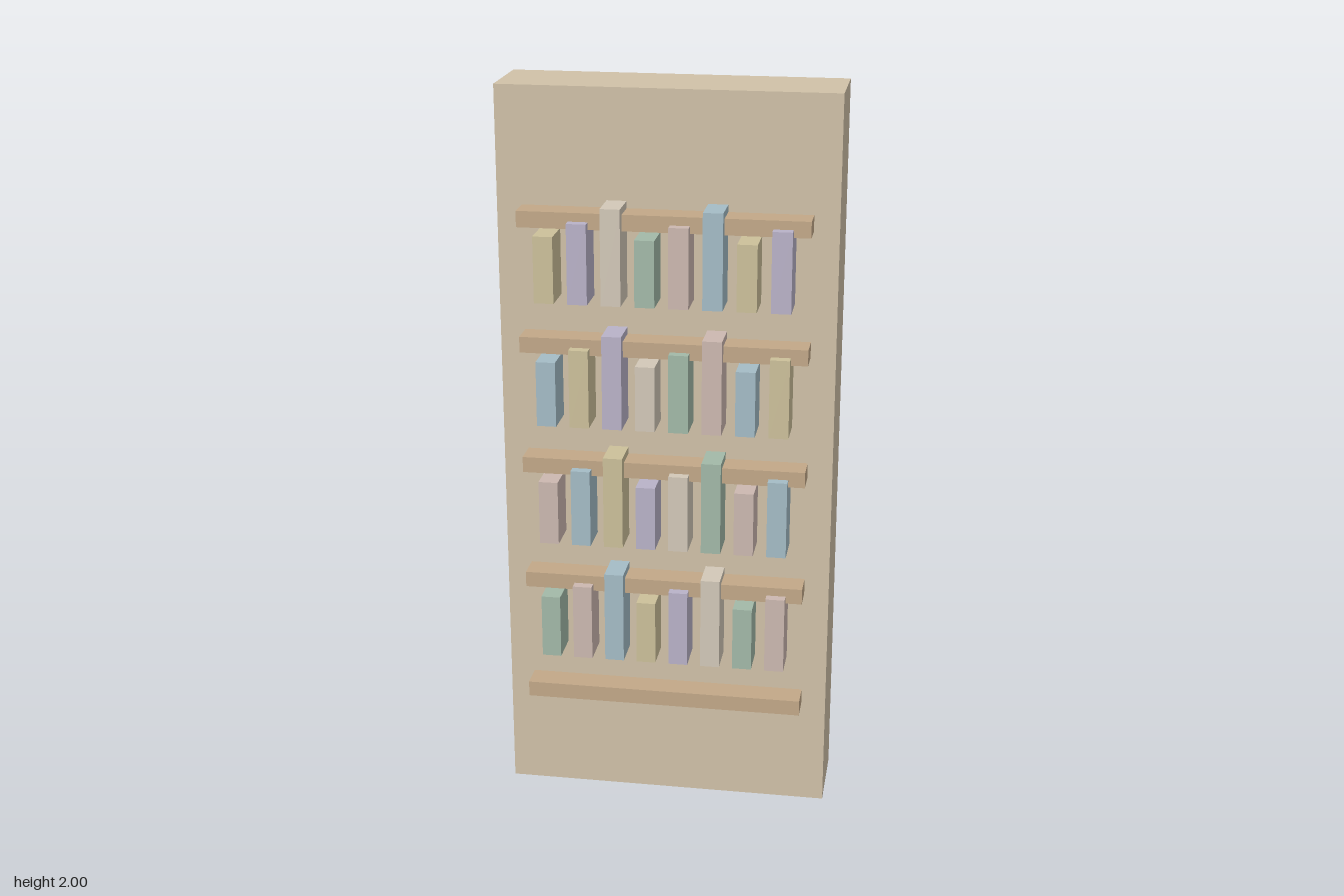
import * as THREE from 'three';

// Box given by its centre x, bottom y, back z and size
function box(name, material, w, h, d, x, y, zBack) {
  const mesh = new THREE.Mesh(new THREE.BoxGeometry(w, h, d), material);
  mesh.name = name;
  mesh.position.set(x, y + h / 2, zBack + d / 2);
  return mesh;
}

const paint = (color) => new THREE.MeshStandardMaterial({ color });

export function createModel() {
  const model = new THREE.Group();
  model.name = 'bookcase';

  const back = -0.161, front = 0.061;
  const pitch = 0.337;

  // Solid cabinet
  model.add(box('cabinet', paint(0xd0c1a8), 0.893, 2, front - back, 0, 0, back));

  // Five shelf boards on the front
  const wood = paint(0xc2a888);
  for (let i = 0; i < 5; i++) {
    model.add(box('shelf', wood, 0.76, 0.043, 0.134 - front, 0, 0.299 + i * pitch, front));
  }

  // Four rows of books: three repeating heights, six repeating colours
  const covers = [0xa2b9a8, 0xccb8b0, 0xa4bcc6, 0xccc09a, 0xb9b2c8, 0xd2c8b8].map(paint);
  const heights = [0.177, 0.213, 0.255];
  for (let row = 0; row < 4; row++) {
    const books = new THREE.Group();
    books.name = 'bookRow';
    for (let i = 0; i < 8; i++) {
      books.add(box('book', covers[(row + i) % 6], 0.052, heights[i % 3], 0.16 - front,
        -0.306 + i * 0.088, 0.443 + row * pitch, front));
    }
    model.add(books);
  }

  return model;
}
